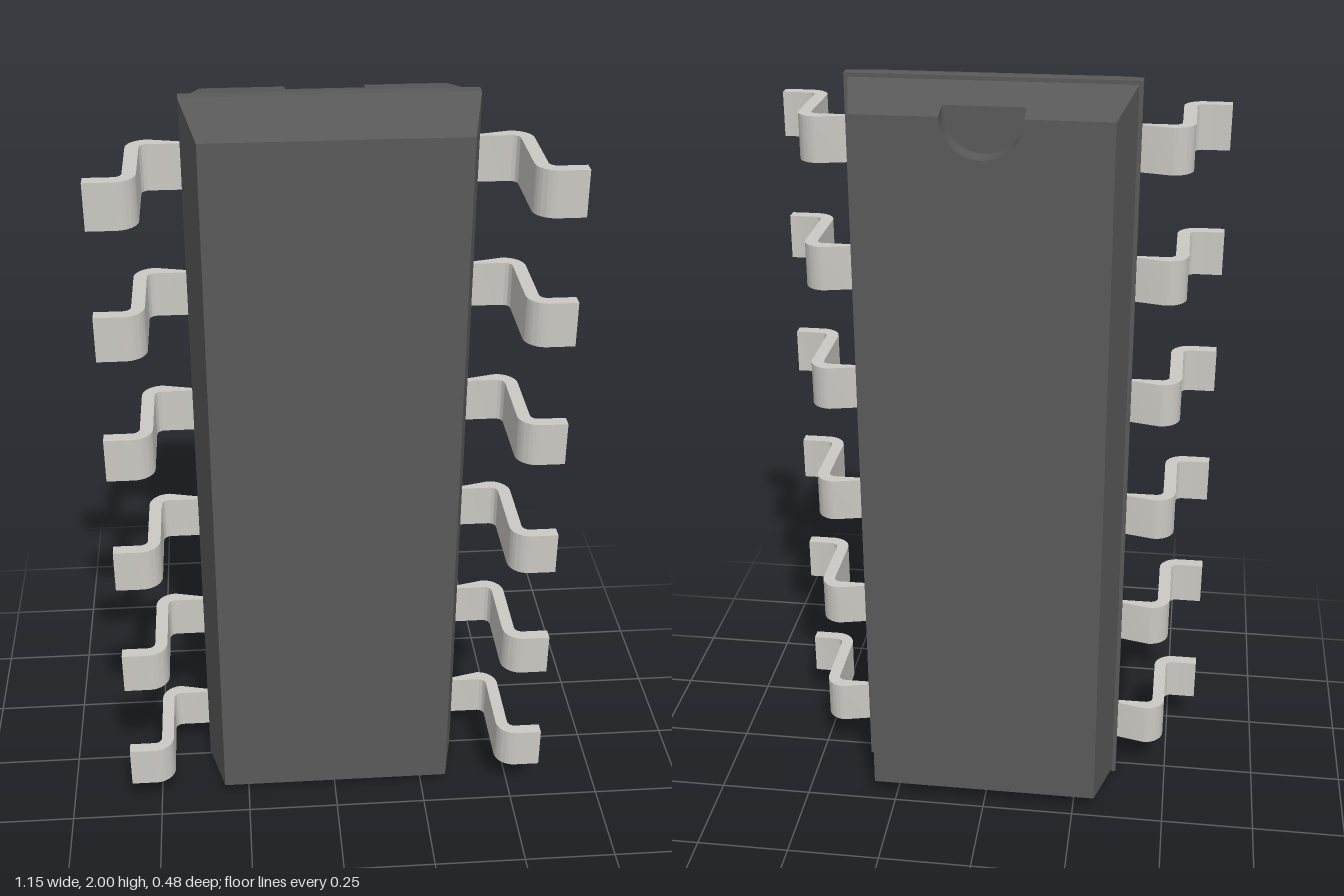
import * as THREE from 'three';
import { toCreasedNormals } from 'three/addons/utils/BufferGeometryUtils.js';

const bodyMaterial = new THREE.MeshStandardMaterial({ color: 0x5a5a5a });
const leadMaterial = new THREE.MeshStandardMaterial({ color: 0xcac9c3 });

// Slab centred on y = 1, tapering from half size a at zA (front) to b at zB (back).
// A notch radius cuts a half circle into its upper edge.
function taperedSlab(name, a, zA, b, zB, notch = 0) {
  const [w, h] = b;
  const shape = new THREE.Shape();
  shape.moveTo(-w, -h);
  shape.lineTo(w, -h);
  shape.lineTo(w, h);
  if (notch) {
    shape.lineTo(notch, h);
    shape.absarc(0, h, notch, 0, -Math.PI, true);
  }
  shape.lineTo(-w, h);
  shape.closePath();
  const geometry = new THREE.ExtrudeGeometry(shape, { depth: zA - zB, bevelEnabled: false, curveSegments: 20 });

  // Move the outer edges of the front end out to their own size
  const p = geometry.attributes.position;
  for (let i = 0; i < p.count; i++) {
    if (p.getZ(i) < (zA - zB) / 2) continue;
    const x = p.getX(i), y = p.getY(i);
    if (Math.abs(Math.abs(x) - w) < 1e-4) p.setX(i, Math.sign(x) * a[0]);
    if (Math.abs(Math.abs(y) - h) < 1e-4) p.setY(i, Math.sign(y) * a[1]);
  }
  geometry.translate(0, 1, zB);
  geometry.computeVertexNormals();
  const mesh = new THREE.Mesh(toCreasedNormals(geometry, 0.3), bodyMaterial);
  mesh.name = name;
  return mesh;
}

// Bent strip: shoulder out of the body, leg forward, foot outward
function leadGeometry(side) {
  const t = 0.033, inner = 0.02, outer = inner + t;
  const top = -0.041, foot = 0.238, legOut = 0.489, tip = 0.577;
  const cx = legOut - outer, cz = top + outer;               // shoulder bend centre
  const fx = legOut + inner, fz = foot - outer;              // foot bend centre
  const s = new THREE.Shape();
  s.moveTo(0.3, top);
  s.absarc(cx, cz, outer, -Math.PI / 2, 0, false);
  s.absarc(fx, fz, inner, Math.PI, Math.PI / 2, true);
  s.lineTo(tip, foot - t);
  s.lineTo(tip, foot);
  s.absarc(fx, fz, outer, Math.PI / 2, Math.PI, false);
  s.absarc(cx, cz, inner, 0, -Math.PI / 2, true);
  s.lineTo(0.3, top + t);
  const points = s.getPoints(8).map((q) => new THREE.Vector2(q.x * side, q.y));
  const width = 0.116;
  const geometry = new THREE.ExtrudeGeometry(new THREE.Shape(points), { depth: width, bevelEnabled: false });
  geometry.translate(0, 0, -width / 2);
  geometry.rotateX(Math.PI / 2);
  return toCreasedNormals(geometry, 0.5);
}

export function createModel() {
  const model = new THREE.Group();
  model.name = 'chipPackage';

  // Moulded body, front to back
  const body = new THREE.Group();
  body.name = 'body';
  body.add(
    taperedSlab('frontHalf', [0.318, 0.958], 0.19, [0.36, 1], -0.01),
    taperedSlab('seamBand', [0.36, 1], -0.01, [0.36, 1], -0.042),
    taperedSlab('backHalf', [0.35, 0.99], -0.042, [0.322, 0.962], -0.178),
    taperedSlab('notchedBack', [0.322, 0.962], -0.178, [0.309, 0.949], -0.24, 0.099),
  );
  model.add(body);

  // Six leads along each side
  for (const side of [1, -1]) {
    const row = new THREE.Group();
    row.name = side > 0 ? 'leftLeads' : 'rightLeads';
    const geometry = leadGeometry(side);
    for (let i = 0; i < 6; i++) {
      const lead = new THREE.Mesh(geometry, leadMaterial);
      lead.name = 'lead';
      lead.position.y = 1 + (i - 2.5) * 0.333;
      row.add(lead);
    }
    model.add(row);
  }
  return model;
}
